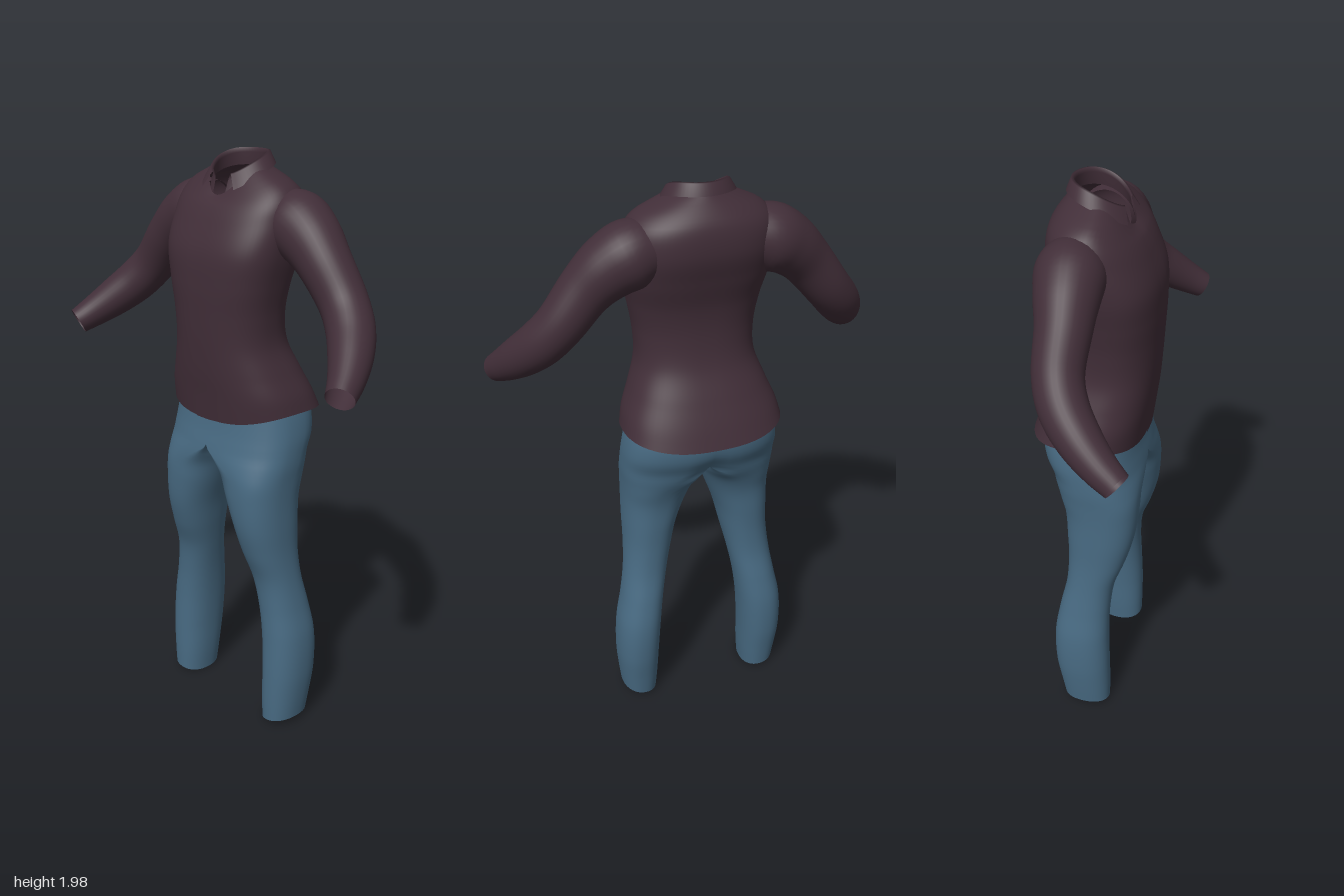
import * as THREE from 'three';
import { mergeGeometries, mergeVertices } from 'three/addons/utils/BufferGeometryUtils.js';

const shirtCloth = new THREE.MeshStandardMaterial({ color: 0x412e38, side: THREE.DoubleSide });
shirtCloth.name = 'plum shirt cloth';
const denim = new THREE.MeshStandardMaterial({ color: 0x486a82, side: THREE.DoubleSide });
denim.name = 'blue denim';

const { lerp } = THREE.MathUtils;
const pow = (v, p) => Math.sign(v) * Math.abs(v) ** p;

// Smooth interpolation through rows of numbers; the first column is the parameter.
function rowSampler(rows) {
  const size = rows[0].length;
  const curve = new THREE.CubicInterpolant(rows.map(r => r[0]), rows.flat(), size, new Float32Array(size));
  const first = rows[0][0], last = rows[rows.length - 1][0];
  return v => Array.from(curve.evaluate(lerp(first, last, v)));
}

// Grid surface from point(u, v); u runs around, v runs along. Mirror flips x.
function surface(point, nu, nv, closed, mirror = false) {
  const pos = [], index = [], cols = closed ? nu : nu + 1;
  for (let j = 0; j <= nv; j++)
    for (let i = 0; i < cols; i++) {
      const [x, y, z] = point(i / nu, j / nv);
      pos.push(mirror ? -x : x, y, z);
    }
  const onMidline = k => Math.abs(pos[k * 3]) < 1e-5;
  for (let j = 0; j < nv; j++)
    for (let i = 0; i < nu; i++) {
      const a = j * cols + i, b = j * cols + (i + 1) % cols, c = a + cols, d = b + cols;
      if ([a, b, c, d].every(onMidline)) continue;
      if (mirror) index.push(a, b, c, b, d, c);
      else index.push(a, c, b, b, c, d);
    }
  const geometry = new THREE.BufferGeometry();
  geometry.setAttribute('position', new THREE.Float32BufferAttribute(pos, 3));
  geometry.setIndex(index);
  geometry.computeVertexNormals();
  return geometry;
}

// Torso rows: side y, front y, back y, half width, front z, back z, roundness
const torsoRow = rowSampler([
  [1.185, 1.14, 1.155, 0.272, 0.135, -0.238, 0.8],
  [1.235, 1.22, 1.22, 0.26, 0.145, -0.213, 0.8],
  [1.31, 1.3, 1.3, 0.23, 0.156, -0.178, 0.82],
  [1.4, 1.4, 1.4, 0.2, 0.165, -0.135, 0.85],
  [1.5, 1.5, 1.5, 0.2, 0.17, -0.12, 0.85],
  [1.6, 1.6, 1.6, 0.216, 0.172, -0.127, 0.8],
  [1.7, 1.7, 1.7, 0.235, 0.165, -0.155, 0.75],
  [1.8, 1.79, 1.8, 0.242, 0.133, -0.18, 0.8],
  [1.87, 1.835, 1.88, 0.232, 0.11, -0.172, 0.9],
  [1.91, 1.85, 1.92, 0.195, 0.098, -0.148, 1],
  [1.935, 1.86, 1.943, 0.14, 0.087, -0.127, 1],
  [1.955, 1.868, 1.958, 0.095, 0.077, -0.113, 1.05],
]);

function torsoPoint(angle, v, lift = 0) {
  const [ys, yf, yb, hw, zf, zb, p] = torsoRow(v);
  const c = Math.cos(angle), s = Math.sin(angle);
  const zc = (zf + zb) / 2, rz = (zf - zb) / 2;
  const y = ys + ((s > 0 ? yf : yb) - ys) * s * s;
  return [(hw + lift) * pow(c, p), y, zc + (rz + lift) * pow(s, p)];
}

// Arm rows: parameter, centre x, y, z, radius
const armRow = rowSampler([
  [0, 0.15, 1.805, -0.06, 0.085],
  [0.1, 0.22, 1.79, -0.056, 0.107],
  [0.22, 0.29, 1.753, -0.047, 0.1],
  [0.36, 0.36, 1.69, -0.037, 0.086],
  [0.54, 0.45, 1.58, -0.03, 0.077],
  [0.68, 0.51, 1.51, 0.003, 0.075],
  [0.8, 0.56, 1.452, 0.058, 0.068],
  [0.91, 0.6, 1.402, 0.12, 0.056],
  [1, 0.625, 1.367, 0.172, 0.046],
]);

function armPoint(u, v, reach) {
  const centre = t => {
    const [, x, y, z] = armRow(t);
    return new THREE.Vector3(x, y, z + reach * t * t * t);
  };
  const along = centre(Math.min(1, v + 0.02)).sub(centre(Math.max(0, v - 0.02))).normalize();
  const across = new THREE.Vector3(0.75, 0.65, 0).cross(along).normalize();
  const up = along.clone().cross(across);
  const a = -u * Math.PI * 2, r = armRow(v)[4];
  return centre(v).addScaledVector(up, r * Math.cos(a)).addScaledVector(across, r * Math.sin(a)).toArray();
}

// Collar layers from neckline, over the fold, to the outer edge:
// half width, back z, front z, back y, front drop, opening angle
const collarLayers = [
  [0.094, -0.113, 0.072, 1.945, 0.075, 2.85],
  [0.087, -0.108, 0.06, 1.985, 0.075, 2.8],
  [0.088, -0.11, 0.06, 2.0, 0.072, 2.72],
  [0.096, -0.118, 0.068, 1.998, 0.075, 2.66],
  [0.12, -0.132, 0.096, 1.963, 0.092, 2.5],
];
function collarPoint(u, v) {
  const [hw, zb, zf, y, drop, open] = collarLayers[Math.round(v * (collarLayers.length - 1))];
  const a = lerp(-open, open, u), front = (1 - Math.cos(a)) / 2;
  return [hw * Math.sin(a), y - drop * front * front, lerp(zb, zf, front)];
}

// Trouser rows: y, outer x, inner x, leg centre x, front z, back z, roundness
const legRow = rowSampler([
  [0.03, 0.306, 0.178, 0.242, 0.066, -0.104, 0.9],
  [0.1, 0.313, 0.172, 0.242, 0.067, -0.115, 0.9],
  [0.22, 0.322, 0.167, 0.244, 0.065, -0.133, 0.9],
  [0.36, 0.316, 0.157, 0.236, 0.06, -0.136, 0.9],
  [0.47, 0.295, 0.143, 0.219, 0.06, -0.12, 0.9],
  [0.58, 0.277, 0.122, 0.2, 0.072, -0.099, 0.9],
  [0.68, 0.268, 0.1, 0.184, 0.106, -0.095, 0.9],
  [0.78, 0.266, 0.077, 0.172, 0.132, -0.1, 0.88],
  [0.88, 0.265, 0.042, 0.154, 0.142, -0.109, 0.85],
  [0.95, 0.267, 0.017, 0.13, 0.142, -0.131, 0.82],
  [1.0, 0.27, 0, 0.06, 0.14, -0.156, 0.8],
  [1.04, 0.27, 0, 0, 0.135, -0.174, 0.8],
  [1.1, 0.267, 0, 0, 0.123, -0.2, 0.8],
  [1.19, 0.25, 0, 0, 0.112, -0.2, 0.8],
  [1.26, 0.225, 0, 0, 0.11, -0.165, 0.8],
]);

function legPoint(u, v) {
  let [y, xo, xi, c, zf, zb, p] = legRow(v);
  xi = Math.max(0, xi);
  c = Math.max(0, c);
  const a = u * Math.PI * 2;
  let cos = Math.cos(a);
  if (Math.abs(cos) < 1e-9) cos = 0;
  const s = Math.sin(a);
  const x = c + (cos > 0 ? xo - c : c - xi) * pow(cos, p);
  let z = (zf + zb) / 2 + (zf - zb) / 2 * pow(s, p);
  // shallow cleft at the seat
  if (s < 0) z += 0.022 * Math.exp(-((x / 0.04) ** 2) - ((y - 1.03) / 0.06) ** 2) * s * s;
  // slanted trouser hem
  return [x, y + 0.016 * cos * Math.max(0, 1 - y / 0.12), z];
}

export function createModel() {
  const model = new THREE.Group();
  model.name = 'shirtAndTrousers';
  const add = (name, geometry, material, parent) => {
    const mesh = new THREE.Mesh(geometry, material);
    mesh.name = name;
    parent.add(mesh);
  };

  const shirt = new THREE.Group();
  shirt.name = 'shirt';
  shirt.position.x = -0.006;
  model.add(shirt);
  add('shirtBody', surface((u, v) => torsoPoint(u * Math.PI * 2, v), 64, 60, true), shirtCloth, shirt);
  // overlapping button strip down the front
  add('placket', surface((u, v) => torsoPoint(lerp(1.5, 1.66, u), v * 0.97, 0.003), 4, 60, false), shirtCloth, shirt);
  add('collar', surface(collarPoint, 48, collarLayers.length - 1, false), shirtCloth, shirt);
  add('leftSleeve', surface((u, v) => armPoint(u, v, 0), 32, 40, true), shirtCloth, shirt);
  add('rightSleeve', surface((u, v) => armPoint(u, v, 0.025), 32, 40, true, true), shirtCloth, shirt);

  // both legs welded along the midline
  const halves = [false, true].map(mirror => surface(legPoint, 48, 80, true, mirror));
  halves.forEach(g => g.deleteAttribute('normal'));
  const trousers = mergeVertices(mergeGeometries(halves), 1e-5);
  trousers.computeVertexNormals();
  trousers.translate(-0.006, 0, 0);
  add('trousers', trousers, denim, model);
  return model;
}
